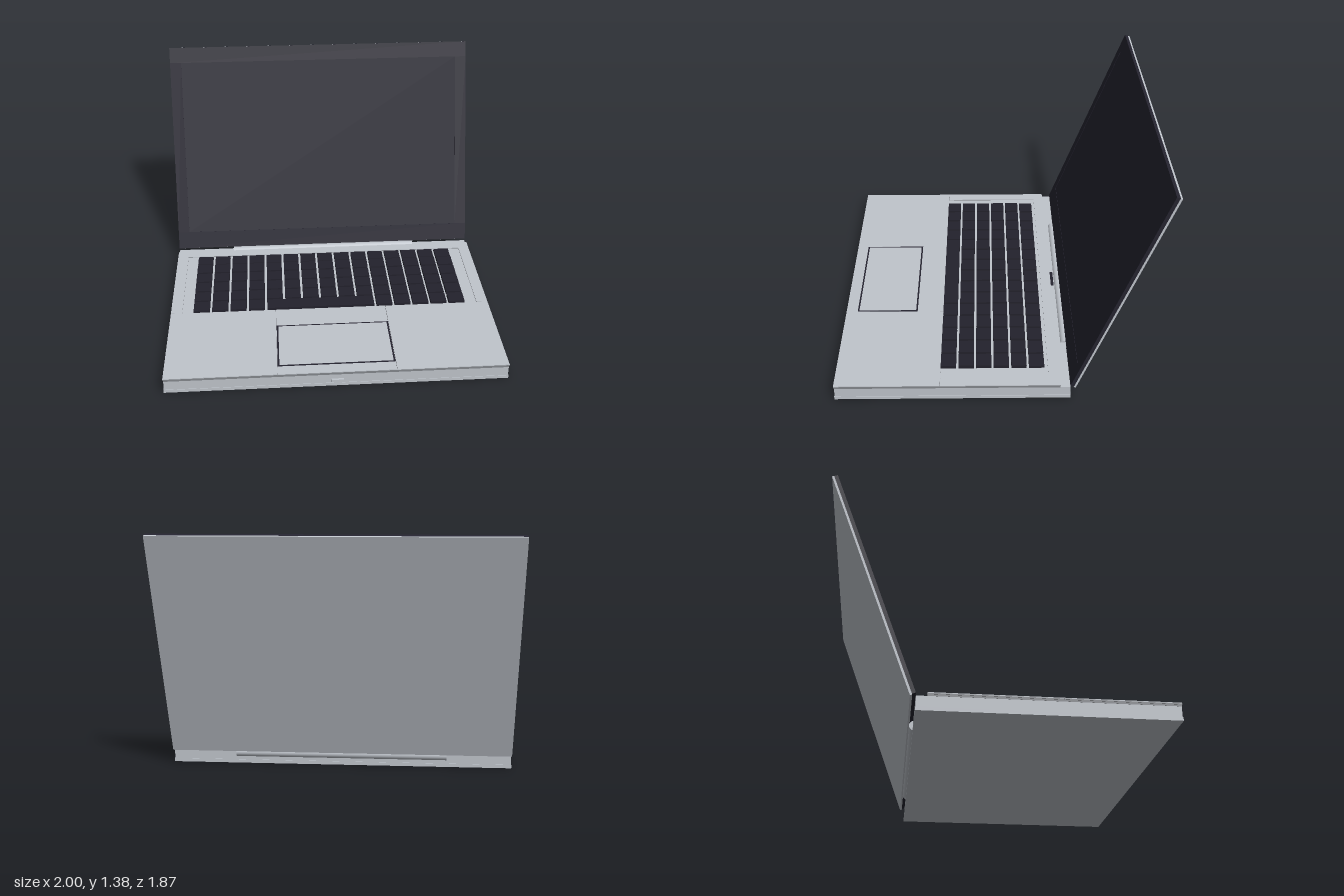
import * as THREE from 'three';

const mat = (name, color) => Object.assign(new THREE.MeshStandardMaterial({ color }), { name });

export function createModel() {
  const silver = mat('silver', 0xc0c5cc);
  const trim = mat('trim grey', 0x85888d);
  const dark = mat('screen black', 0x252430);
  const keyMat = mat('key black', 0x23222c);

  const model = new THREE.Group();
  model.name = 'laptop';

  // Box given by its minimum and maximum on each axis
  const box = (parent, name, material, [x0, x1], [y0, y1], [z0, z1]) => {
    const mesh = new THREE.Mesh(new THREE.BoxGeometry(x1 - x0, y1 - y0, z1 - z0), material);
    mesh.position.set((x0 + x1) / 2, (y0 + y1) / 2, (z0 + z1) / 2);
    mesh.name = name;
    parent.add(mesh);
    return mesh;
  };

  // Base: bottom plate, body walls and the trim band under the deck
  const base = new THREE.Group();
  base.name = 'base';
  model.add(base);
  box(base, 'bottomPlate', silver, [-1, 1], [0, 0.02], [-0.44, 0.925]);
  box(base, 'body', silver, [-0.997, 0.997], [0.02, 0.08], [-0.437, 0.922]);
  box(base, 'deckBand', trim, [-0.998, 0.998], [0.08, 0.09], [-0.378, 0.923]);
  box(base, 'frontLatch', silver, [-0.035, 0.035], [0.03, 0.05], [0.92, 0.935]);
  box(base, 'rearSensor', dark, [-0.07, 0.07], [0.078, 0.085], [-0.4, -0.38]);

  // Deck panels around the keyboard well
  const deckY = [0.096, 0.1];
  const edgeY = [0.09, 0.096];
  const panel = (name, x, z) => {
    box(base, name + 'Edge', trim, x, edgeY, z);
    box(base, name, silver, x, deckY, z);
  };
  panel('palmRestRight', [-1, -0.346], [0.315, 0.925]);
  panel('palmRestLeft', [0.346, 1], [0.315, 0.925]);
  panel('palmRestCentre', [-0.344, 0.344], [0.315, 0.925]);
  panel('sideStripRight', [-1, -0.93], [-0.38, 0.313]);
  panel('sideStripLeft', [0.93, 1], [-0.38, 0.313]);
  panel('backStrip', [-0.93, 0.93], [-0.38, -0.315]);
  box(base, 'keyboardFloor', silver, [-0.93, 0.93], [0.088, 0.094], [-0.315, 0.315]);

  // Trackpad with a dark outline
  box(base, 'trackpadOutline', dark, [-0.343, 0.343], [0.099, 0.1012], [0.477, 0.855]);
  box(base, 'trackpad', silver, [-0.333, 0.333], [0.0995, 0.1025], [0.487, 0.845]);

  // Keyboard: six rows of fifteen, with a space bar across columns 4 to 9
  const keyboard = new THREE.Group();
  keyboard.name = 'keyboard';
  model.add(keyboard);
  const pitchX = 0.115, pitchZ = 0.1035, keyW = 0.1, keyD = 0.09;
  for (let row = 0; row < 6; row++) {
    const z = -0.294 + row * pitchZ;
    const top = row === 0 ? 0.11 : 0.115;
    for (let col = 0; col < 15; col++) {
      const space = row === 5 && col === 4;
      const x = -0.858 + col * pitchX;
      const width = space ? keyW + 5 * pitchX : keyW;
      box(keyboard, space ? 'spaceBar' : 'key', keyMat, [x, x + width], [0.092, top], [z, z + keyD]);
      if (space) col = 9;
    }
  }

  // Hinge barrel
  const hinge = new THREE.Mesh(new THREE.CylinderGeometry(0.028, 0.028, 1.245, 24), silver);
  hinge.name = 'hinge';
  hinge.rotation.z = Math.PI / 2;
  hinge.position.set(0, 0.067, -0.43);
  model.add(hinge);

  // Lid, tilted back 20 degrees
  const lid = new THREE.Group();
  lid.name = 'lid';
  lid.position.set(0, 0.07, -0.445);
  lid.rotation.x = -THREE.MathUtils.degToRad(20);
  model.add(lid);
  const bezelZ = [-0.005, 0.016];
  box(lid, 'lidShell', silver, [-1, 1], [0.015, 1.393], [-0.017, -0.005]);
  box(lid, 'bezelTop', dark, [-1, 1], [1.293, 1.393], bezelZ);
  box(lid, 'bezelBottom', dark, [-1, 1], [0.02, 0.133], bezelZ);
  for (const s of [-1, 1]) {
    const side = box(lid, 'bezelSide', dark, [0.927, 1], [0.133, 1.293], bezelZ);
    side.position.x *= s;
  }
  box(lid, 'screen', dark, [-0.927, 0.927], [0.133, 1.293], [-0.005, 0.014]);

  return model;
}
